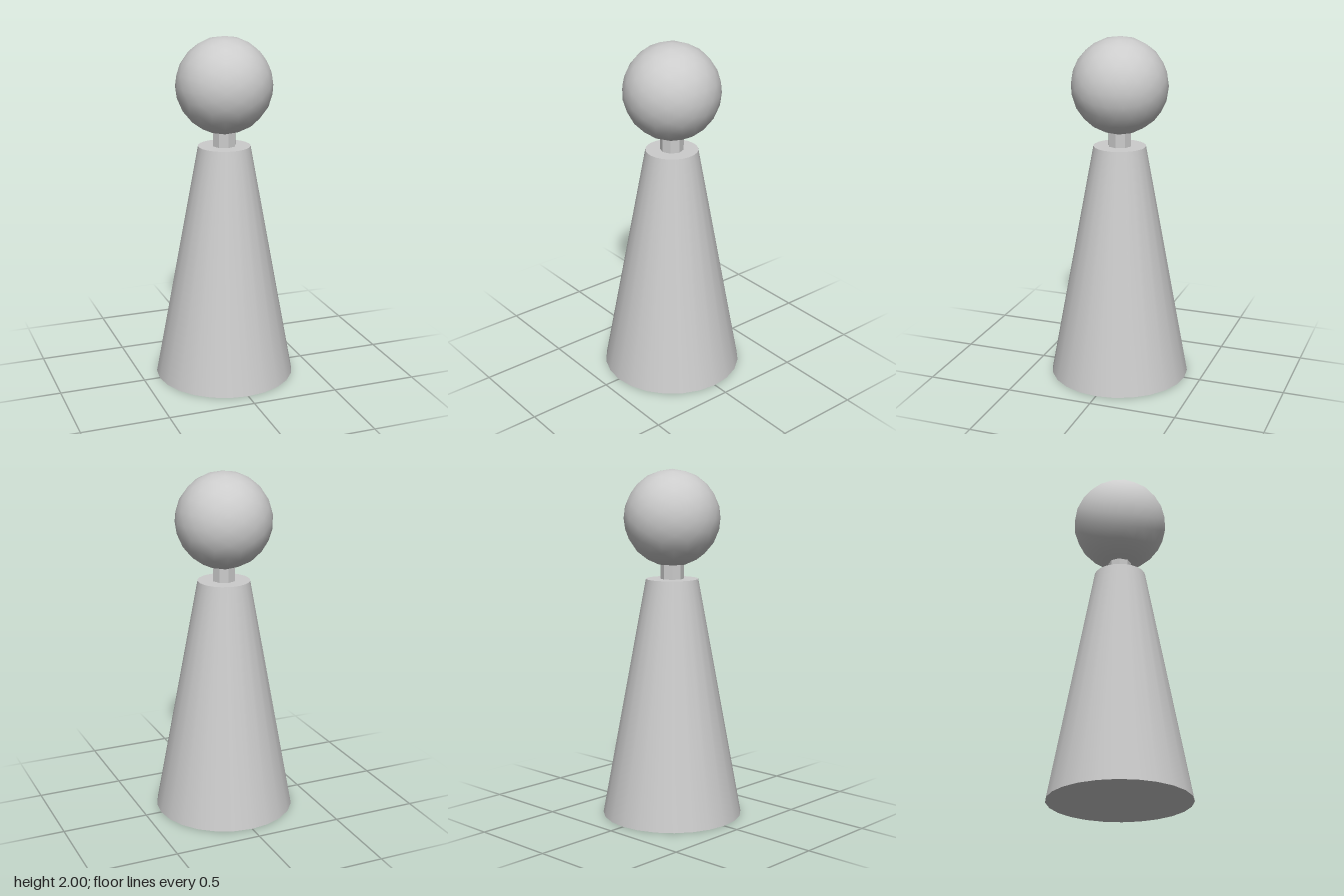
import * as THREE from 'three';

export function createModel() {
  const group = new THREE.Group();
  const grey = new THREE.MeshStandardMaterial({ color: 0xcccccc });
  grey.name = 'lightGrey';
  const flatGrey = grey.clone();
  flatGrey.flatShading = true;
  flatGrey.name = 'lightGreyFaceted';

  const add = (name, geometry, material, y) => {
    const mesh = new THREE.Mesh(geometry, material);
    mesh.name = name;
    mesh.position.y = y;
    group.add(mesh);
    return mesh;
  };

  // Tapered body with closed ends
  add('body', new THREE.CylinderGeometry(0.15, 0.405, 1.38, 24), grey, 0.69);

  // Short octagonal neck, ending inside the head
  add('neck', new THREE.CylinderGeometry(0.067, 0.067, 0.14, 8), flatGrey, 1.44);

  // Round head, a smooth-shaded subdivided icosahedron
  const head = add('head', new THREE.IcosahedronGeometry(0.275, 3), grey, 1.726);
  head.rotation.y = 0.25;

  return group;
}
